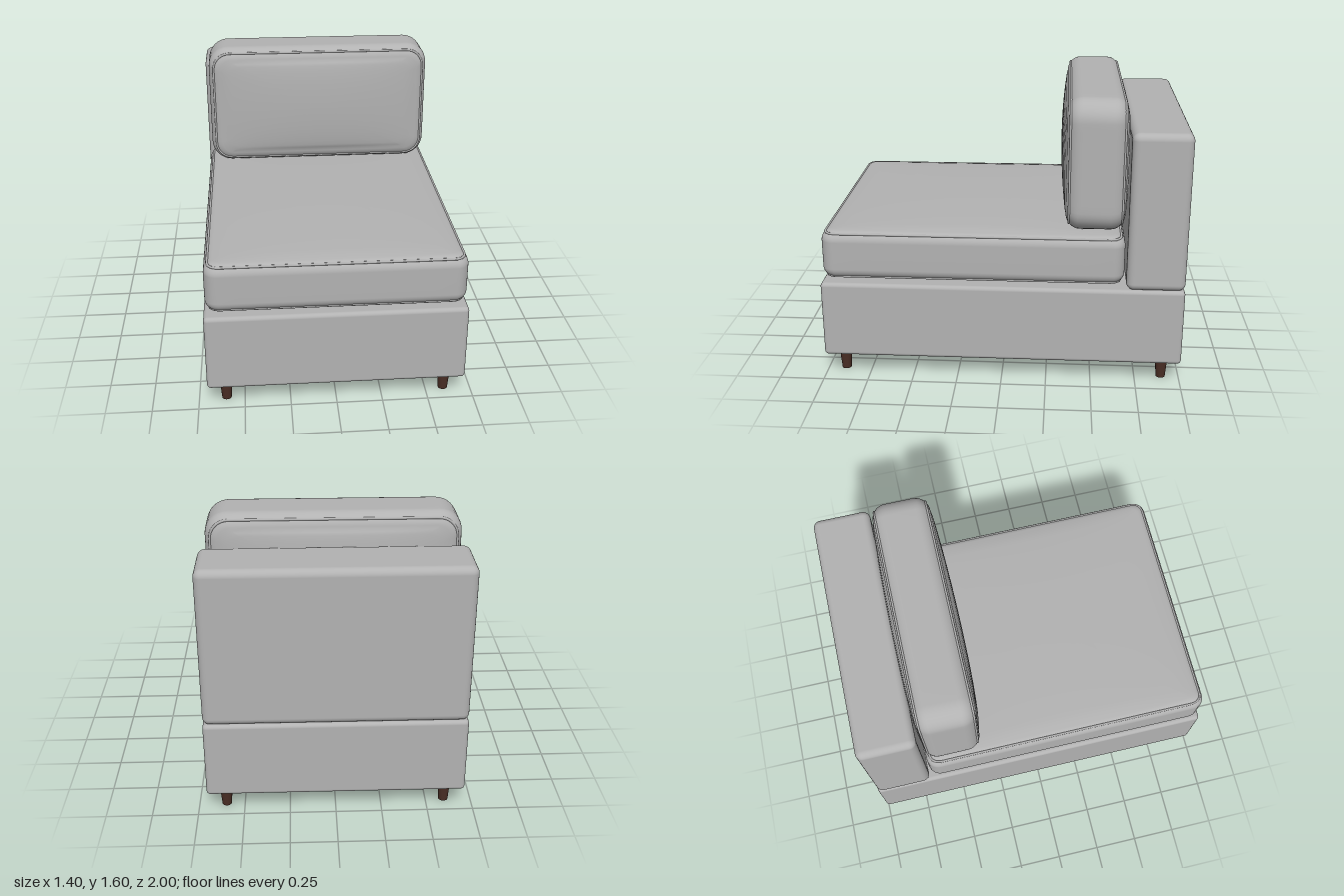
import * as THREE from 'three';
import { RoundedBoxGeometry } from 'three/addons/geometries/RoundedBoxGeometry.js';

const CORNER = 8, EDGE = 12;

// Counter-clockwise rounded rectangle in the xy plane, with subdivided straight sides
function outline(hw, hh, r) {
  const corners = [[1, 1], [-1, 1], [-1, -1], [1, -1]];
  const arcs = corners.map(([sx, sy], c) => {
    const arc = [];
    for (let i = 0; i <= CORNER; i++) {
      const a = (c + i / CORNER) * Math.PI / 2;
      arc.push(new THREE.Vector2(sx * (hw - r) + r * Math.cos(a), sy * (hh - r) + r * Math.sin(a)));
    }
    return arc;
  });
  const points = [];
  arcs.forEach((arc, c) => {
    points.push(...arc);
    const from = arc[CORNER], to = arcs[(c + 1) % 4][0];
    for (let i = 1; i < EDGE; i++) points.push(from.clone().lerp(to, i / EDGE));
  });
  return points;
}

// Cushion body: rounded side band closed by two softly bulging faces (thickness along z)
function cushionGeometry(hw, hh, ht, r, bulge, round) {
  const half = [];
  const flat = ht - bulge;
  for (let i = 0; i <= 8; i++) {
    const a = i / 8 * Math.PI / 2;
    const inset = round * (1 - Math.cos(a));
    half.push(outline(hw - inset, hh - inset, Math.max(r - inset * 0.7, 0.02))
      .map(p => [p.x, p.y, flat - round + round * Math.sin(a)]));
  }
  const rim = half[8], fw = hw - round, fh = hh - round;
  for (const s of [0.96, 0.9, 0.8, 0.65, 0.5, 0.35, 0.2, 0.08, 0]) {
    half.push(rim.map(([x, y]) => {
      const u = s * x / fw, v = s * y / fh;
      return [s * x, s * y, flat + bulge * Math.sqrt((1 - u * u) * (1 - v * v))];
    }));
  }
  const back = half.map(ring => ring.map(([x, y, z]) => [x, y, -z])).reverse();
  const rings = [...back, ...half];
  const n = rim.length, index = [];
  for (let i = 0; i < rings.length - 1; i++) {
    for (let j = 0; j < n; j++) {
      const a = i * n + j, b = i * n + (j + 1) % n;
      if (i > 0) index.push(a, b, b + n);
      if (i < rings.length - 2) index.push(a, b + n, a + n);
      else if (i === 0) index.push(a, b + n, a + n);
    }
  }
  const g = new THREE.BufferGeometry();
  g.setAttribute('position', new THREE.Float32BufferAttribute(rings.flat(2), 3));
  g.setIndex(index);
  g.computeVertexNormals();
  // Centre points of the two faces
  const normal = g.attributes.normal;
  for (let j = 0; j < n; j++) {
    normal.setXYZ(j, 0, 0, -1);
    normal.setXYZ((rings.length - 1) * n + j, 0, 0, 1);
  }
  return g;
}

function cushion(name, hw, hh, ht, r, bulge, round, material) {
  const group = new THREE.Group();
  group.name = name;
  const body = new THREE.Mesh(cushionGeometry(hw, hh, ht, r, bulge, round), material);
  body.name = name + 'Body';
  group.add(body);
  // Piping follows the shoulder of both faces
  const inset = round * 0.36;
  const pz = ht - bulge - round + round * 0.77;
  for (const side of [-1, 1]) {
    const path = new THREE.CatmullRomCurve3(
      outline(hw - inset, hh - inset, Math.max(r - inset * 0.7, 0.02))
        .map(p => new THREE.Vector3(p.x, p.y, side * pz)), true);
    const piping = new THREE.Mesh(new THREE.TubeGeometry(path, 220, 0.007, 8, true), material);
    piping.name = name + 'Piping';
    group.add(piping);
  }
  return group;
}

export function createModel() {
  const fabric = new THREE.MeshStandardMaterial({ color: 0xb2b2b2 });
  fabric.name = 'grey fabric';
  const wood = new THREE.MeshStandardMaterial({ color: 0x4a2e25 });
  wood.name = 'dark wood';

  const model = new THREE.Group();
  model.name = 'armlessSofaSection';

  function block(name, w, h, d, r, y, z) {
    const mesh = new THREE.Mesh(new RoundedBoxGeometry(w, h, d, 5, r), fabric);
    mesh.name = name;
    mesh.position.set(0, y, z);
    model.add(mesh);
  }

  // Upholstered frame
  block('base', 1.4, 0.44, 2, 0.022, 0.345, 0);
  block('backrest', 1.4, 0.88, 0.32, 0.04, 1.002, -0.84);

  // Loose cushions
  const seat = cushion('seatCushion', 0.69, 0.83, 0.16, 0.07, 0.022, 0.06, fabric);
  seat.rotation.x = -Math.PI / 2;
  seat.position.set(0, 0.724, 0.16);
  model.add(seat);

  const back = cushion('backCushion', 0.667, 0.365, 0.192, 0.12, 0.03, 0.08, fabric);
  back.position.set(0, 1.236, -0.505);
  model.add(back);

  // Tapered legs
  const legGeometry = new THREE.CylinderGeometry(0.036, 0.026, 0.13, 24);
  for (const x of [-0.6, 0.6]) {
    for (const z of [-0.9, 0.9]) {
      const leg = new THREE.Mesh(legGeometry, wood);
      leg.name = 'leg';
      leg.position.set(x, 0.065, z);
      model.add(leg);
    }
  }
  return model;
}
